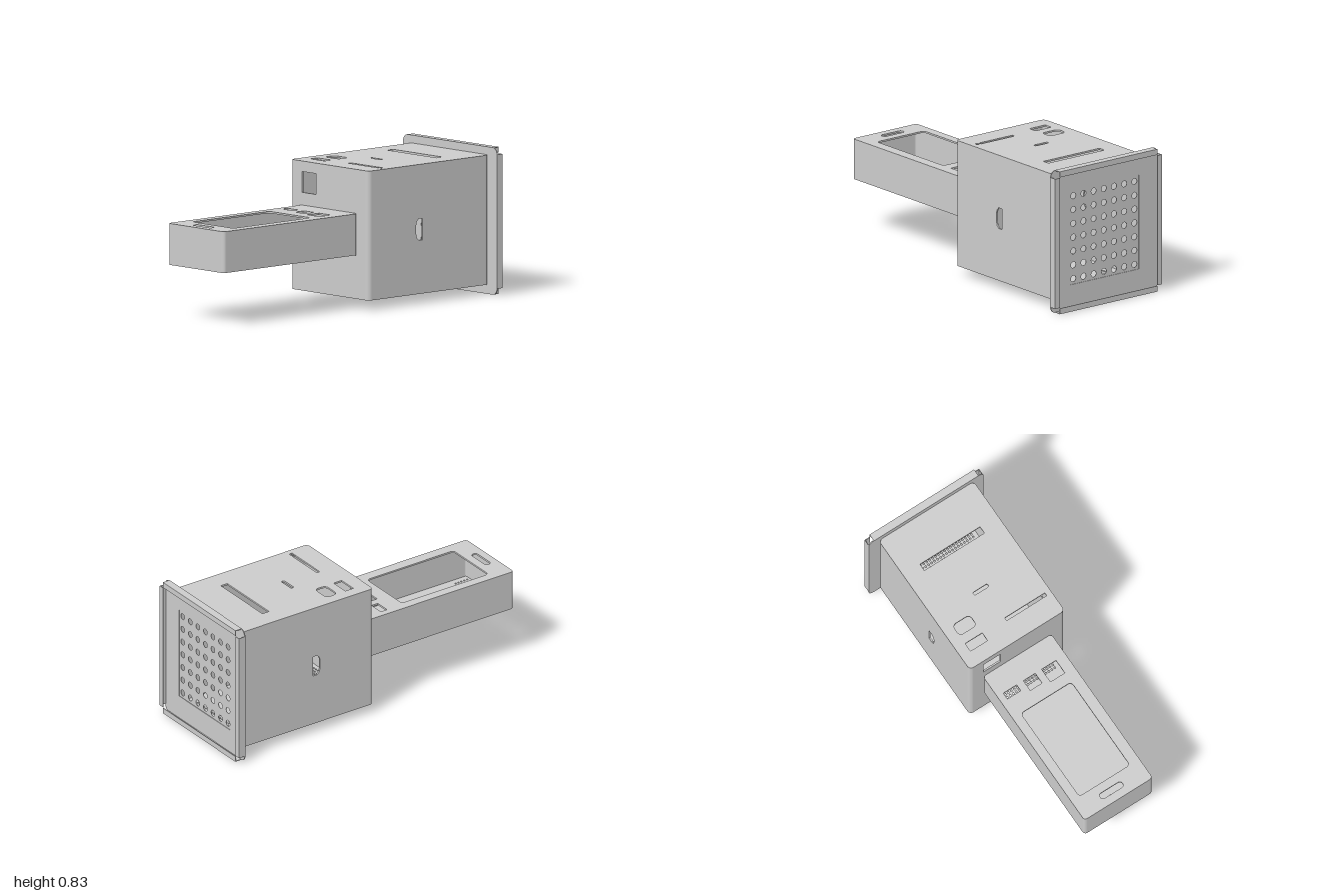
import * as THREE from 'three';

const MAT = new THREE.MeshStandardMaterial({ color: 0xcccccc, side: THREE.DoubleSide });
const T = 0.01; // sheet thickness

// Rounded rectangle between two corners
function rect(x0, x1, y0, y1, r = 0, C = THREE.Path) {
  const p = new C();
  if (!r) {
    p.moveTo(x0, y0).lineTo(x1, y0).lineTo(x1, y1).lineTo(x0, y1).closePath();
    return p;
  }
  p.moveTo(x0 + r, y0);
  p.absarc(x1 - r, y0 + r, r, -Math.PI / 2, 0);
  p.absarc(x1 - r, y1 - r, r, 0, Math.PI / 2);
  p.absarc(x0 + r, y1 - r, r, Math.PI / 2, Math.PI);
  p.absarc(x0 + r, y0 + r, r, Math.PI, Math.PI * 1.5);
  return p;
}

// Small polygon for a round hole
function circle(x, y, r, n) {
  const pts = [];
  for (let i = 0; i < n; i++) {
    const a = (i / n) * Math.PI * 2;
    pts.push(new THREE.Vector2(x + r * Math.cos(a), y + r * Math.sin(a)));
  }
  return new THREE.Path(pts);
}

// Hole in a horizontal sheet, given in x and z
const slot = (x0, x1, z0, z1, r = 0) => rect(x0, x1, -z1, -z0, r);

// Strip of small vent holes in a horizontal sheet
function vents(x0, x1, z0, z1, step = 0.02) {
  const holes = [];
  const nx = Math.round((x1 - x0) / step), nz = Math.round((z1 - z0) / step);
  for (let i = 0; i <= nx; i++)
    for (let j = 0; j <= nz; j++)
      holes.push(circle(x0 + i * step, -(z0 + j * step), 0.006, 6));
  return holes;
}

function sheet(name, shape, holes, depth, curveSegments = 8) {
  shape.holes.push(...holes);
  const g = new THREE.ExtrudeGeometry(shape, { depth, bevelEnabled: false, curveSegments });
  const m = new THREE.Mesh(g, MAT);
  m.name = name;
  return m;
}

// Hollow sheet box with rounded upright corners
function casing(name, b, holes) {
  const { x, y0, y1, z0, z1, r } = b;
  const group = new THREE.Group();
  group.name = name;
  const h = y1 - y0;

  const top = sheet('topSheet', rect(-x, x, -z1, -z0, r, THREE.Shape), holes.top, T);
  top.rotation.x = -Math.PI / 2;
  top.position.y = y1 - T;

  // floor set slightly up between the walls
  const floor = sheet('floorSheet',
    rect(-x + T, x - T, -z1 + T, -z0 - T, r - T, THREE.Shape), holes.floor, T / 2);
  floor.rotation.x = -Math.PI / 2;
  floor.position.y = y0 + 0.006;
  group.add(top, floor);

  const wallTop = y1 - T;
  const front = sheet('frontWall', rect(-x + r, x - r, y0, wallTop, 0, THREE.Shape), holes.front, T);
  front.position.z = z1 - T;
  group.add(front);
  if (!b.openBack) {
    const back = sheet('backWall', rect(-x + r, x - r, y0, wallTop, 0, THREE.Shape), [], T);
    back.position.z = z0;
    group.add(back);
  }

  for (const s of [1, -1]) {
    const wall = sheet(s > 0 ? 'leftWall' : 'rightWall',
      rect(z0 + r, z1 - r, y0, wallTop, 0, THREE.Shape), holes.side, T);
    wall.rotation.y = -Math.PI / 2;
    wall.position.x = s > 0 ? x : -x + T;
    group.add(wall);
    for (const f of [1, -1]) {
      const a = f > 0 ? (s > 0 ? -Math.PI / 2 : Math.PI) : (s > 0 ? 0 : Math.PI / 2);
      const arc = new THREE.Shape();
      arc.absarc(0, 0, r, a, a + Math.PI / 2, false);
      arc.absarc(0, 0, r - T, a + Math.PI / 2, a, true);
      const corner = sheet('roundedCorner', arc, [], h - T, 6);
      corner.rotation.x = -Math.PI / 2;
      corner.position.set(s * (x - r), y0, f > 0 ? z1 - r : z0 + r);
      group.add(corner);
    }
  }
  return group;
}

function box(name, x0, x1, y0, y1, z0, z1) {
  const m = new THREE.Mesh(new THREE.BoxGeometry(x1 - x0, y1 - y0, z1 - z0), MAT);
  m.position.set((x0 + x1) / 2, (y0 + y1) / 2, (z0 + z1) / 2);
  m.name = name;
  return m;
}

// Back panel with perforated recess and folded hems
function backPanel() {
  const group = new THREE.Group();
  group.name = 'backPanel';
  const W = 0.385, H = 0.835, hem = 0.033, zf = -0.955, t = 0.004, cy = H / 2;
  const window = [-0.25, 0.25, cy - 0.275, cy + 0.275];

  const plate = sheet('panelSheet', rect(-W, W, 0, H, 0.035, THREE.Shape), [rect(...window)], 0.006);
  plate.position.z = zf - 0.006;

  const holes = [];
  for (let i = -3; i <= 3; i++)
    for (let j = -3; j <= 3; j++) holes.push(circle(i * 0.0735, cy + j * 0.081, 0.018, 20));
  const grille = sheet('perforatedSheet', rect(...window, 0, THREE.Shape), holes, 0.003);
  grille.position.z = zf - 0.003;
  group.add(plate, grille);

  // top and bottom hems, open at the ends
  for (const [n, a, b, out] of [['topHem', H - hem, H, H], ['bottomHem', 0, hem, 0]]) {
    const lip = out ? [H - t, H] : [0, t];
    group.add(
      box(n + 'Edge', -0.352, 0.352, ...lip, -1, zf),
      box(n + 'Return', -0.352, 0.352, a, b, -1, -1 + t));
  }
  // side hems
  for (const s of [1, -1]) {
    const span = (a, b) => (s > 0 ? [a, b] : [-b, -a]);
    const n = s > 0 ? 'leftHem' : 'rightHem';
    group.add(
      box(n + 'Edge', ...span(W - t, W), 0.037, H - 0.037, -1, zf),
      box(n + 'Return', ...span(W - hem, W), 0.037, H - 0.037, -1, -1 + t));
  }
  return group;
}

export function createModel() {
  const model = new THREE.Group();
  model.name = 'deviceHousing';

  // D-shaped opening in both side walls
  const dSlot = () => {
    const p = new THREE.Path();
    p.moveTo(-0.445, 0.36).lineTo(-0.415, 0.36).lineTo(-0.4, 0.375).lineTo(-0.395, 0.4);
    p.lineTo(-0.395, 0.445).lineTo(-0.4, 0.467).lineTo(-0.415, 0.482).lineTo(-0.445, 0.482).closePath();
    return p;
  };

  model.add(casing('mainCasing',
    { x: 0.32, y0: 0.055, y1: 0.79, z0: -0.955, z1: -0.03, r: 0.025, openBack: true }, {
      top: [
        slot(-0.205, 0.2, -0.71, -0.665),
        slot(-0.052, 0.045, -0.405, -0.385, 0.008),
        slot(-0.255, -0.14, -0.305, -0.23, 0.025),
        slot(-0.255, -0.14, -0.175, -0.12),
        slot(0.015, 0.258, -0.18, -0.16),
        slot(0.264, 0.285, -0.18, -0.16),
      ],
      floor: [
        slot(-0.238, -0.203, -0.33, -0.19, 0.017),
        slot(-0.238, -0.203, -0.79, -0.65, 0.017),
        ...vents(-0.28, 0.28, -0.17, -0.07),
        ...vents(-0.28, 0.28, -0.92, -0.82),
      ],
      front: [rect(-0.227, -0.112, 0.612, 0.73)],
      side: [dSlot()],
    }));

  model.add(casing('frontArm',
    { x: 0.23, y0: 0.305, y1: 0.54, z0: -0.03, z1: 1, r: 0.02 }, {
      top: [
        slot(-0.175, 0.165, 0.27, 0.865, 0.022),
        slot(-0.19, -0.1, 0.115, 0.157),
        slot(-0.055, 0.025, 0.115, 0.185),
        slot(0.068, 0.165, 0.115, 0.205),
        slot(-0.08, 0.07, 0.915, 0.953, 0.018),
      ],
      floor: [
        slot(-0.168, -0.133, 0.64, 0.785, 0.017),
        slot(-0.168, -0.133, 0.19, 0.33, 0.017),
        ...vents(-0.18, 0.18, 0.0, 0.08),
        ...vents(-0.18, 0.18, 0.89, 0.97),
      ],
      front: [],
      side: [],
    }));

  model.add(backPanel());
  return model;
}
